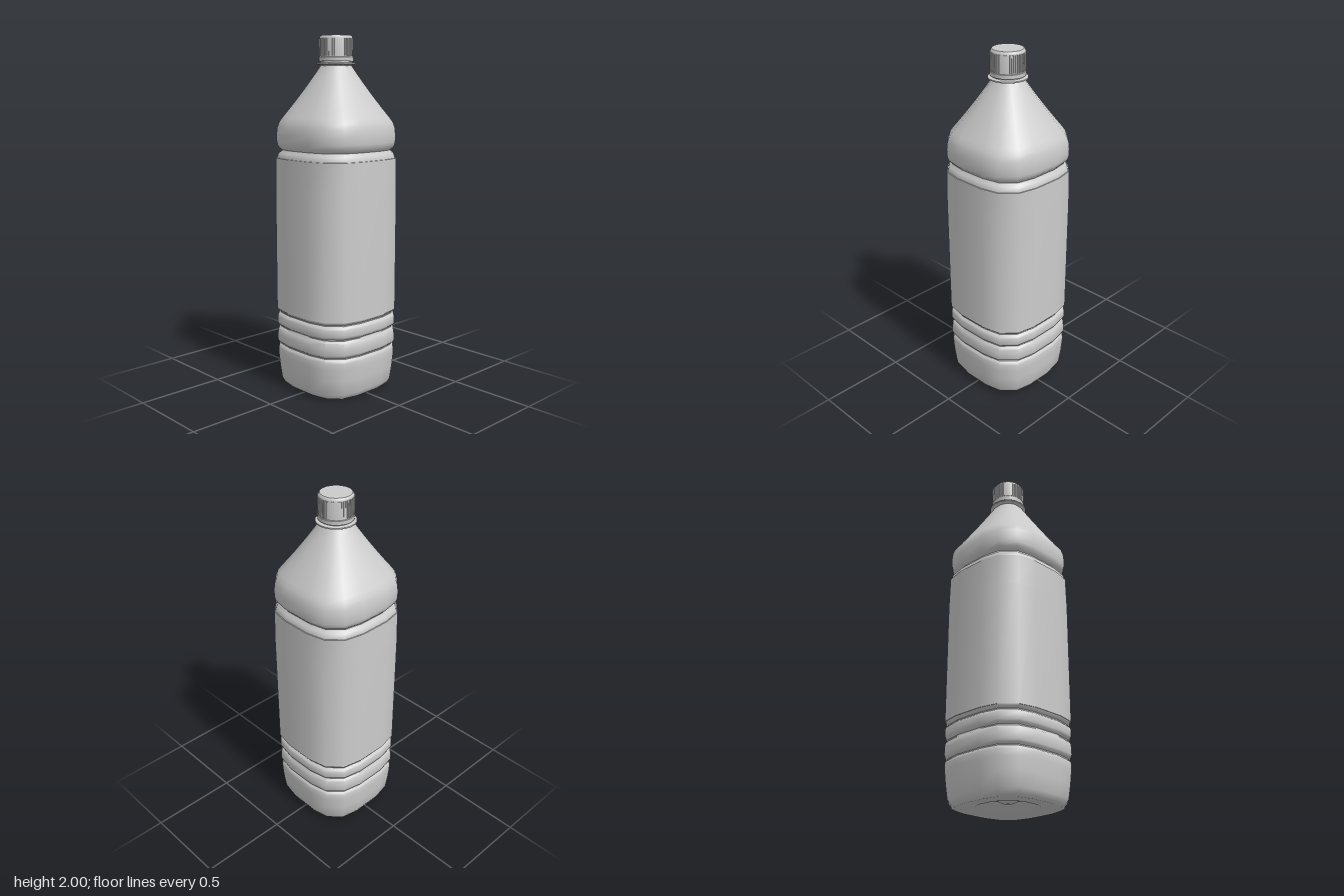
import * as THREE from 'three';
import { toCreasedNormals } from 'three/addons/utils/BufferGeometryUtils.js';

const material = new THREE.MeshStandardMaterial({ color: 0xcccccc, side: THREE.DoubleSide });

// Sixteen-sided rounded square with a half width of 1, counter-clockwise from above
const quarter = [[-0.298, 1], [0.298, 1], [0.664, 0.921], [0.921, 0.664]];
const section = [];
for (let k = 0; k < 4; k++) {
  const a = k * Math.PI / 2, c = Math.cos(a), s = Math.sin(a);
  for (const [x, z] of quarter) section.push([x * c + z * s, z * c - x * s]);
}

// Skins rows of [half width, y, roundness]; roundness 0 is the square, 1 a circle
function loft(rows) {
  const n = section.length, positions = [], index = [];
  for (const [r, y, round = 0] of rows) {
    for (const [x, z] of section) {
      const f = r * (1 - round + round / Math.hypot(x, z));
      positions.push(x * f, y, z * f);
    }
  }
  for (let i = 0; i < rows.length - 1; i++) {
    for (let j = 0; j < n; j++) {
      const a = i * n + j, b = i * n + (j + 1) % n;
      index.push(a, b, b + n, a, b + n, a + n);
    }
  }
  const g = new THREE.BufferGeometry();
  g.setAttribute('position', new THREE.Float32BufferAttribute(positions, 3));
  g.setIndex(index);
  return toCreasedNormals(g, 0.8);
}

function lathe(points, segments = 20) {
  const g = new THREE.LatheGeometry(points.map(([r, y]) => new THREE.Vector2(r, y)), segments);
  return toCreasedNormals(g, 0.7);
}

export function createModel() {
  const group = new THREE.Group();
  const add = (name, geometry) => {
    const mesh = new THREE.Mesh(geometry, material);
    mesh.name = name;
    group.add(mesh);
    return mesh;
  };

  // Dished underside with a small central dome, then the foot
  const rows = [
    [0.001, 0.028, 1], [0.035, 0.032, 1], [0.06, 0.045, 1], [0.07, 0.05, 1],
    [0.175, 0.004, 1], [0.25, 0, 0.1], [0.265, 0.012], [0.28, 0.04],
    [0.29, 0.12], [0.296, 0.19], [0.297, 0.225], [0.294, 0.238],
  ];
  // Grooves between the lower grip ribs
  for (const y of [0.25, 0.355, 0.438]) {
    rows.push([0.284, y - 0.003], [0.284, y + 0.003], [0.296, y + 0.013], [0.3, y + 0.024]);
    if (y < 0.43) rows.push([0.3, y + 0.06], [0.296, y + (y < 0.3 ? 0.09 : 0.07)]);
  }
  // Main body, waist groove and shoulder
  rows.push(
    [0.3, 1.15], [0.296, 1.28], [0.293, 1.335], [0.286, 1.357], [0.272, 1.368],
    [0.27, 1.375], [0.276, 1.383], [0.288, 1.395], [0.294, 1.42], [0.295, 1.46],
    [0.291, 1.5], [0.281, 1.53], [0.266, 1.555, 0.04],
  );
  // Shoulder cone turning from square to round
  for (let i = 1; i <= 6; i++) {
    const t = i / 6;
    rows.push([0.266 - 0.181 * t, 1.555 + 0.285 * t, 0.04 + 0.96 * t]);
  }
  add('bottleBody', loft(rows));

  // Thin label panels standing just proud of the four faces
  add('labelPanels', loft([[0.292, 0.458], [0.302, 0.459], [0.302, 1.15], [0.298, 1.329], [0.29, 1.33]]));

  // Neck with its support collar
  add('neck', lathe([
    [0.085, 1.835], [0.09, 1.84], [0.109, 1.843], [0.109, 1.85], [0.088, 1.854], [0.086, 1.9],
  ]));

  // Screw cap: tamper band, core with bevelled top and grip ridges
  add('tamperBand', lathe([[0.086, 1.86], [0.096, 1.86], [0.097, 1.882], [0.09, 1.886]], 32));
  add('cap', lathe([
    [0.084, 1.882], [0.093, 1.884], [0.093, 1.985], [0.09, 1.994], [0.084, 2], [0, 2],
  ], 32));
  const ridges = new THREE.Group();
  ridges.name = 'capRidges';
  const ridgeGeometry = new THREE.BoxGeometry(0.005, 0.094, 0.006);
  const count = 56;
  for (let i = 0; i < count; i++) {
    const a = i / count * Math.PI * 2;
    const ridge = new THREE.Mesh(ridgeGeometry, material);
    ridge.name = 'capRidge';
    ridge.position.set(Math.sin(a) * 0.0935, 1.936, Math.cos(a) * 0.0935);
    ridge.rotation.y = a;
    ridges.add(ridge);
  }
  group.add(ridges);
  return group;
}
